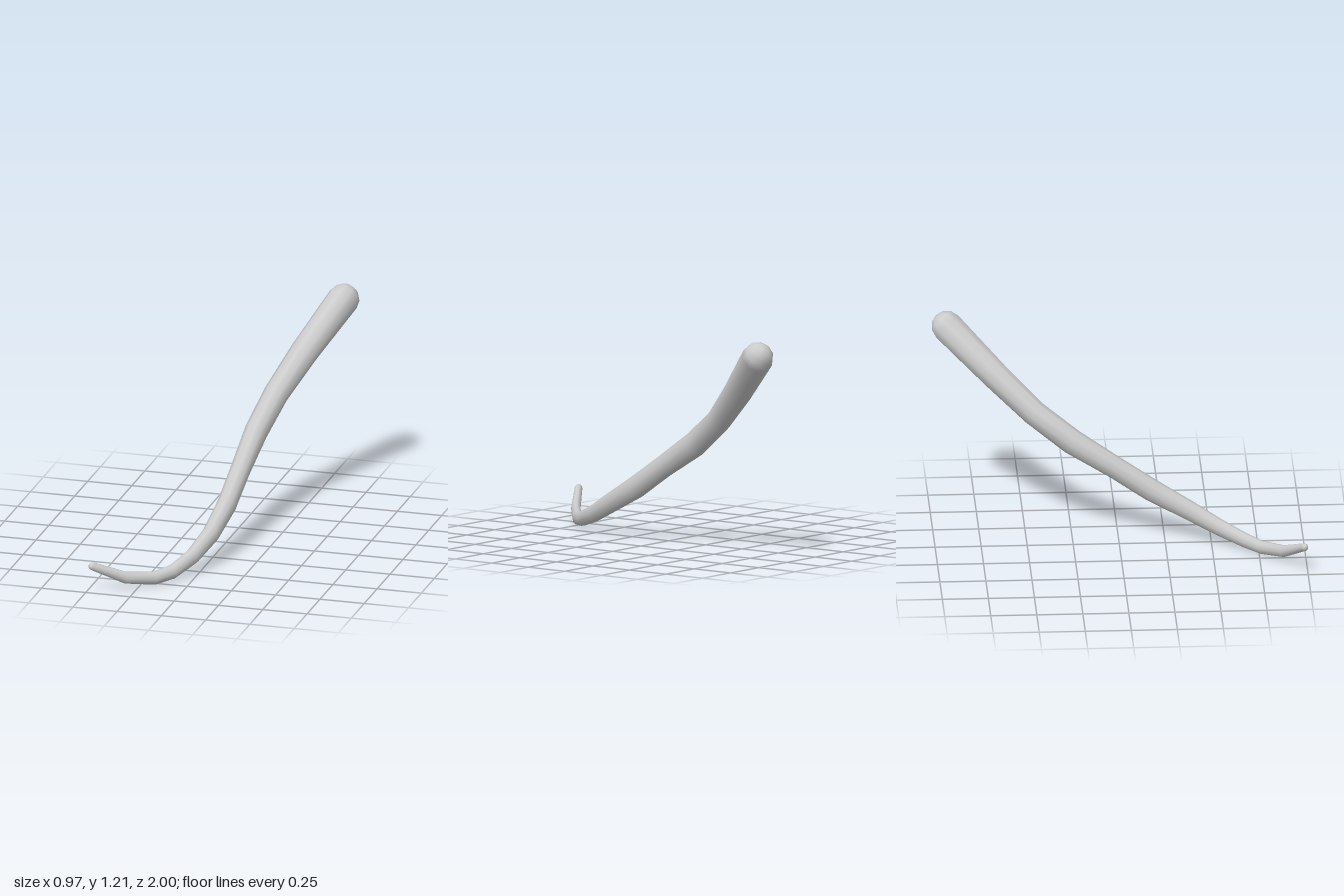
import * as THREE from 'three';
import { mergeVertices } from 'three/addons/utils/BufferGeometryUtils.js';

const SIDES = 10;

// Centre line from thick root to thin tip: x, y, z, half width, half height
const STATIONS = [
  [0.397, 1.132, -0.913, 0.088, 0.088],
  [0.25, 0.90, -0.66, 0.077, 0.078],
  [0.15, 0.718, -0.455, 0.068, 0.07],
  [0.097, 0.565, -0.25, 0.063, 0.07],
  [0.075, 0.42, -0.02, 0.055, 0.061],
  [0.058, 0.288, 0.18, 0.052, 0.062],
  [0.025, 0.18, 0.38, 0.045, 0.054],
  [-0.03, 0.103, 0.535, 0.038, 0.047],
  [-0.105, 0.052, 0.675, 0.033, 0.041],
  [-0.18, 0.038, 0.765, 0.029, 0.037],
  [-0.31, 0.066, 0.878, 0.026, 0.033],
  [-0.468, 0.151, 0.981, 0.021, 0.022],
];

function tailGeometry() {
  const centres = STATIONS.map(([x, y, z]) => new THREE.Vector3(x, y, z));
  const last = centres.length - 1;
  const up = new THREE.Vector3(0, 1, 0);
  const positions = [], index = [];

  // One elliptical ring, pushed along the path and shrunk for the round caps
  const addRing = (i, push, scale) => {
    const before = centres[Math.max(i - 1, 0)], after = centres[Math.min(i + 1, last)];
    const t = after.clone().sub(before).normalize();
    const side = up.clone().cross(t).normalize();
    const normal = t.clone().cross(side);
    const [, , , w, h] = STATIONS[i];
    for (let j = 0; j < SIDES; j++) {
      const a = (j / SIDES) * Math.PI * 2;
      const p = centres[i].clone()
        .addScaledVector(t, push * w)
        .addScaledVector(side, Math.cos(a) * w * scale)
        .addScaledVector(normal, Math.sin(a) * h * scale);
      positions.push(p.x, p.y, p.z);
    }
  };

  const capAngles = [90, 60, 30].map(THREE.MathUtils.degToRad);
  capAngles.forEach(a => addRing(0, -Math.sin(a), Math.cos(a)));
  centres.forEach((_, i) => addRing(i, 0, 1));
  [...capAngles].reverse().forEach(a => addRing(last, Math.sin(a), Math.cos(a)));

  const rings = positions.length / 3 / SIDES;
  for (let i = 0; i < rings - 1; i++) {
    for (let j = 0; j < SIDES; j++) {
      const a = i * SIDES + j, b = i * SIDES + (j + 1) % SIDES;
      index.push(a, b, a + SIDES, b, b + SIDES, a + SIDES);
    }
  }
  const geometry = new THREE.BufferGeometry();
  geometry.setAttribute('position', new THREE.Float32BufferAttribute(positions, 3));
  geometry.setIndex(index);
  const welded = mergeVertices(geometry, 1e-4);
  welded.computeVertexNormals();
  return welded;
}

export function createModel() {
  const group = new THREE.Group();
  const tail = new THREE.Mesh(tailGeometry(), new THREE.MeshStandardMaterial({ color: 0xcccccc }));
  tail.name = 'tail';
  group.add(tail);
  return group;
}
